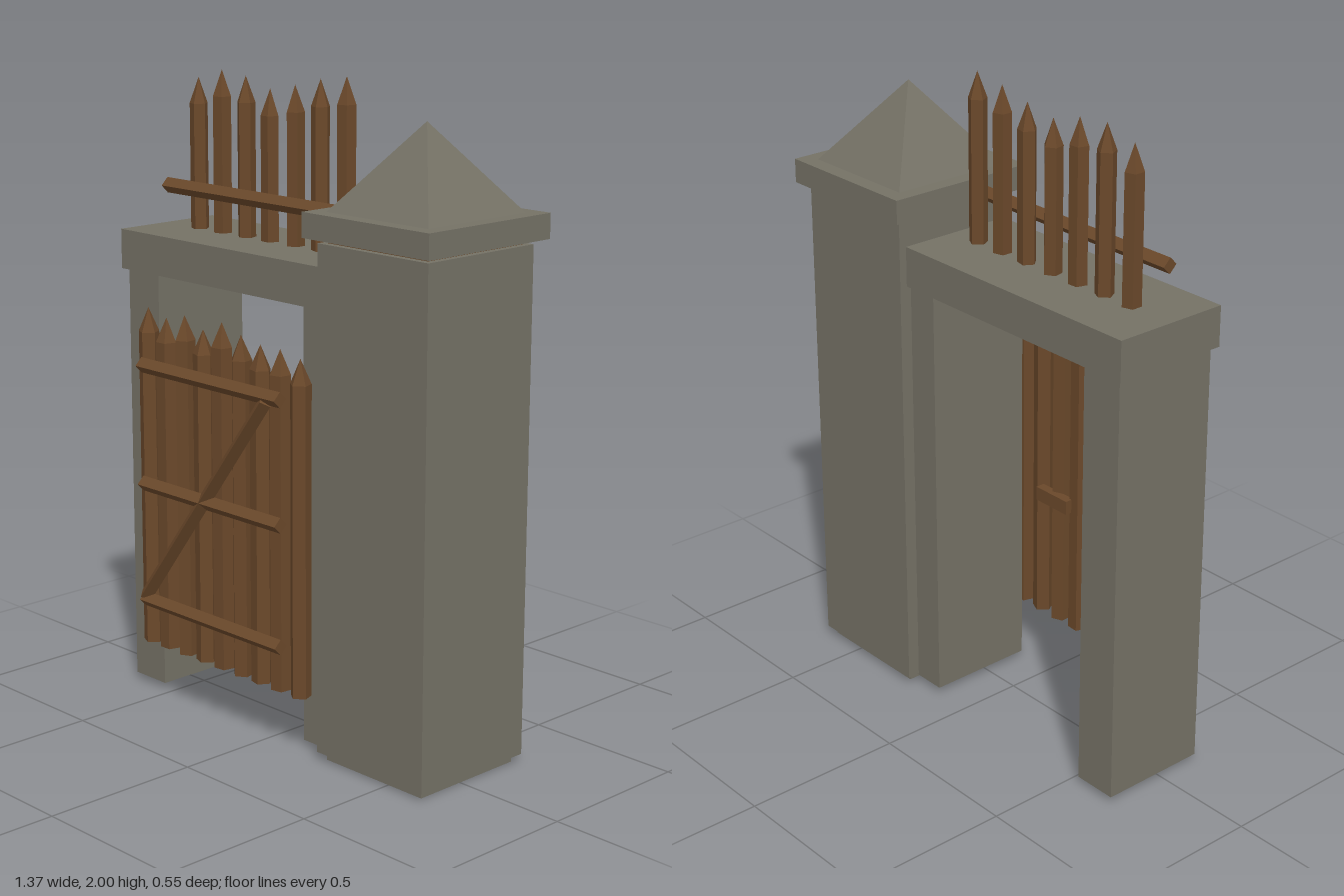
import * as THREE from 'three';

export function createModel() {
  const model = new THREE.Group();
  const stone = new THREE.MeshStandardMaterial({ color: 0x747165, flatShading: true });
  stone.name = 'grey stone';
  const wood = new THREE.MeshStandardMaterial({ color: 0x6a482a, flatShading: true });
  wood.name = 'brown wood';

  function add(parent, name, geometry, material, x = 0, y = 0, z = 0) {
    const mesh = new THREE.Mesh(geometry, material);
    mesh.name = name;
    mesh.position.set(x, y, z);
    parent.add(mesh);
    return mesh;
  }

  // Box given by its lower and upper corners
  function block(parent, name, material, [x0, y0, z0], [x1, y1, z1]) {
    return add(parent, name, new THREE.BoxGeometry(x1 - x0, y1 - y0, z1 - z0), material,
      (x0 + x1) / 2, (y0 + y1) / 2, (z0 + z1) / 2);
  }

  // Five-sided pointed stake
  function stake(parent, name, x, z, bottom, top, radius, tip, turn) {
    const h = top - bottom;
    const profile = [[0, 0], [radius, 0], [radius, h - tip], [0, h]].map(p => new THREE.Vector2(...p));
    add(parent, name, new THREE.LatheGeometry(profile, 5), wood, x, bottom, z).rotation.y = turn;
  }

  // Diamond-section bar between two points in the x-y plane
  function bar(parent, name, x0, y0, x1, y1, z) {
    const length = Math.hypot(x1 - x0, y1 - y0);
    const mesh = add(parent, name, new THREE.CylinderGeometry(0.024, 0.024, length, 4), wood,
      (x0 + x1) / 2, (y0 + y1) / 2, z);
    mesh.rotation.z = Math.atan2(y1 - y0, x1 - x0) - Math.PI / 2;
  }

  // Big pillar with stepped cap and pyramid roof
  const pillar = new THREE.Group();
  pillar.name = 'pillar';
  pillar.position.set(0.438, 0, -0.03);
  model.add(pillar);
  const slab = (name, material, half, y0, y1) =>
    block(pillar, name, material, [-half, y0, -half], [half, y1, half]);
  slab('pillarFoot', stone, 0.193, 0, 0.03);
  slab('pillarShaft', stone, 0.214, 0.025, 1.557);
  slab('pillarNeck', wood, 0.193, 1.55, 1.575);
  slab('pillarCap', stone, 0.246, 1.572, 1.646);
  const roof = new THREE.ConeGeometry(0.197 * Math.SQRT2, 0.255, 4);
  add(pillar, 'pillarRoof', roof, stone, 0, 1.773, 0).rotation.y = Math.PI / 4;

  // Stone doorway
  const doorway = new THREE.Group();
  doorway.name = 'doorway';
  model.add(doorway);
  block(doorway, 'rightPost', stone, [-0.67, 0.02, -0.205], [-0.53, 1.37, 0.14]);
  block(doorway, 'leftPost', stone, [0.12, 0.02, -0.205], [0.26, 1.37, 0.14]);
  block(doorway, 'lintel', stone, [-0.688, 1.358, -0.22], [0.28, 1.482, 0.155]);

  // Fence of stakes above the lintel
  const fence = new THREE.Group();
  fence.name = 'topFence';
  model.add(fence);
  [1.95, 1.98, 1.97, 1.94, 1.96, 1.985, 2].forEach((top, i) =>
    stake(fence, 'topStake', -0.53 + i * 0.108, -0.033, 1.44, top, 0.029, 0.08, 0.3 + i * 0.5));
  bar(fence, 'topRail', -0.622, 1.613, 0.27, 1.613, 0.02);

  // Wooden gate
  const gate = new THREE.Group();
  gate.name = 'gate';
  model.add(gate);
  [1.265, 1.245, 1.265, 1.235, 1.27, 1.245, 1.23, 1.23, 1.215].forEach((top, i) =>
    stake(gate, 'gateStake', -0.516 + i * 0.0848, 0.193, 0.187, top, 0.033, 0.075, 0.2 + i * 0.45));
  for (const y of [1.098, 0.722, 0.347]) bar(gate, 'gateRail', -0.485, y, 0.137, y, 0.25);
  bar(gate, 'gateBrace', -0.48, 0.357, 0.077, 1.085, 0.25);

  // Latch and hinge boards behind the gate
  block(gate, 'latch', wood, [-0.08, 0.595, 0.145], [0.057, 0.64, 0.175]);
  for (const y of [1.098, 0.347])
    block(gate, 'hinge', wood, [-0.53, y - 0.02, 0.145], [-0.36, y + 0.02, 0.175]);

  return model;
}
